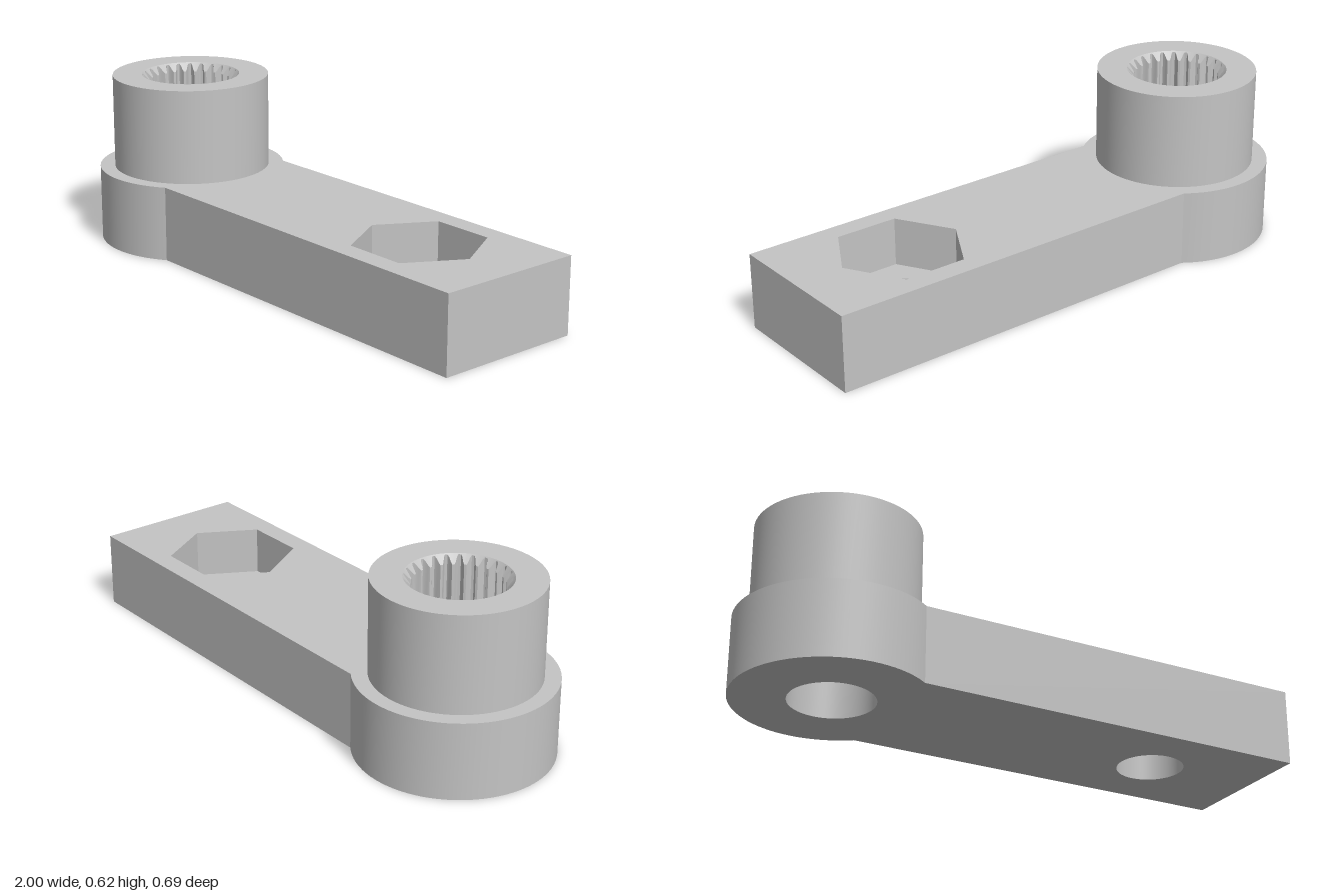
import * as THREE from 'three';
import { mergeGeometries, toCreasedNormals } from 'three/addons/utils/BufferGeometryUtils.js';

const HUB_X = -0.656, BOLT_X = 0.585;
const ARM_TOP = 0.276, BOSS_TOP = 0.622;
const HEX_FLOOR = 0.1, WEB_LOW = 0.28, WEB_HIGH = 0.37;
const HALF_WIDTH = 0.276, HUB_R = 0.344, TEETH = 25;

// Counter-clockwise ring around (cx, 0); radius is a function of the angle
function ring(cx, radius, count) {
  return Array.from({ length: count }, (_, i) => {
    const a = (i / count) * Math.PI * 2, r = radius(a);
    return new THREE.Vector2(cx + r * Math.cos(a), r * Math.sin(a));
  });
}
const circle = (cx, r, count = 72) => ring(cx, () => r, count);

// Flat horizontal face with holes
function face(outline, holes, y, down = false) {
  const shape = new THREE.Shape(outline);
  shape.holes = holes.map((h) => new THREE.Path(h));
  const g = new THREE.ShapeGeometry(shape);
  g.rotateX(-Math.PI / 2).translate(0, y, 0);
  if (down) g.setIndex(Array.from(g.index.array).reverse());
  g.deleteAttribute('uv');
  return toCreasedNormals(g, 0.5);
}

// Wall between two rings: low ring first faces outward, high ring first faces inward
function wall(a, ya, b, yb) {
  const n = a.length, pos = [], idx = [];
  const height = (y, p) => (typeof y === 'function' ? y(p) : y);
  for (const p of a) pos.push(p.x, height(ya, p), -p.y);
  for (const p of b) pos.push(p.x, height(yb, p), -p.y);
  for (let i = 0; i < n; i++) {
    const j = (i + 1) % n;
    idx.push(i, j, n + j, i, n + j, n + i);
  }
  const g = new THREE.BufferGeometry();
  g.setAttribute('position', new THREE.Float32BufferAttribute(pos, 3));
  g.setIndex(idx);
  g.computeVertexNormals();
  return toCreasedNormals(g, 0.5);
}

export function createModel() {
  const group = new THREE.Group();
  const grey = new THREE.MeshStandardMaterial({ color: 0xc4c4c4 });
  grey.name = 'plainGrey';
  const add = (name, parts) => {
    const mesh = new THREE.Mesh(mergeGeometries(parts), grey);
    mesh.name = name;
    group.add(mesh);
  };

  // Arm outline: round hub end running into a straight bar
  const start = Math.asin(HALF_WIDTH / HUB_R), outline = [];
  for (let i = 0; i <= 60; i++) {
    const a = start + (i / 60) * (Math.PI - start) * 2;
    outline.push(new THREE.Vector2(HUB_X + HUB_R * Math.cos(a), HUB_R * Math.sin(a)));
  }
  outline.push(new THREE.Vector2(1, -HALF_WIDTH), new THREE.Vector2(1, HALF_WIDTH));

  const boss = circle(HUB_X, 0.289);
  const recess = circle(HUB_X, 0.15);
  const screw = circle(HUB_X, 0.088);
  const bolt = circle(BOLT_X, 0.12);
  const hex = circle(BOLT_X, 0.231, 6);

  add('arm', [
    wall(outline, 0, outline, ARM_TOP),
    face(outline, [boss, hex], ARM_TOP),
    face(outline, [recess, bolt], 0, true),
  ]);

  // Hexagonal nut pocket with a bolt hole through its floor
  add('nutPocket', [
    wall(hex, ARM_TOP, hex, HEX_FLOOR),
    face(hex, [bolt], HEX_FLOOR),
  ]);
  add('boltHole', [wall(bolt, HEX_FLOOR, bolt, 0)]);

  // Raised boss
  const mouth = circle(HUB_X, 0.181, TEETH * 10);
  add('boss', [
    wall(boss, ARM_TOP, boss, BOSS_TOP),
    face(boss, [mouth], BOSS_TOP),
  ]);

  // Splined socket, its teeth cut back by a conical lead-in
  const spline = ring(HUB_X, (a) =>
    0.167 + 0.011 * THREE.MathUtils.clamp(1.6 * Math.cos(a * TEETH), -1, 1), TEETH * 10);
  const cone = (p) => BOSS_TOP - 1.2 * (0.181 - Math.hypot(p.x - HUB_X, p.y));
  add('splinedSocket', [
    wall(mouth, BOSS_TOP, spline, cone),
    wall(spline, cone, spline, WEB_HIGH),
    face(spline, [screw], WEB_HIGH),
  ]);

  // Screw hole through the web, with a wide recess underneath
  add('screwHole', [wall(screw, WEB_HIGH, screw, WEB_LOW)]);
  add('screwRecess', [
    wall(recess, WEB_LOW, recess, 0),
    face(recess, [screw], WEB_LOW, true),
  ]);

  return group;
}
